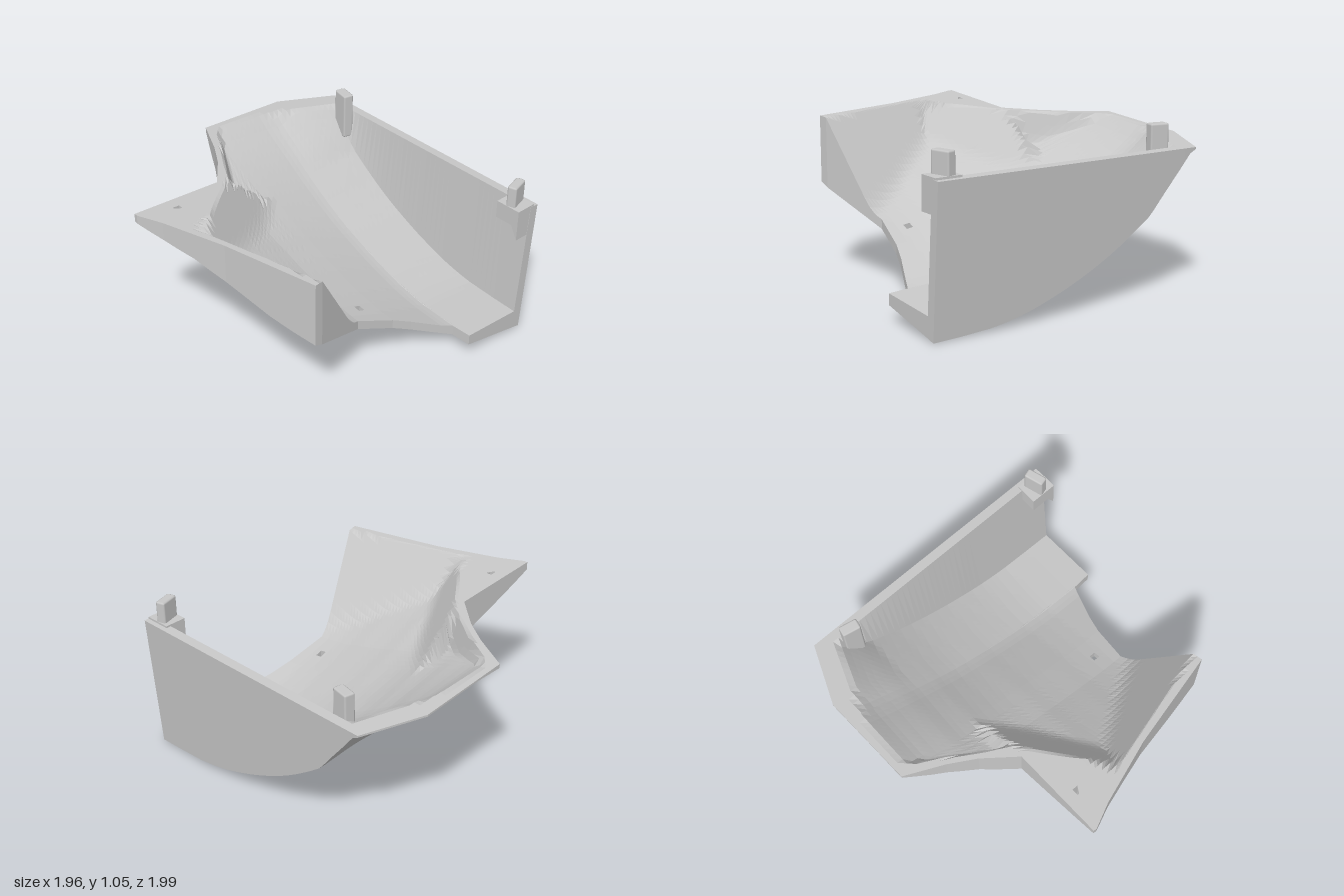
import * as THREE from 'three';
import { RoundedBoxGeometry } from 'three/addons/geometries/RoundedBoxGeometry.js';

const clamp01 = (v) => Math.min(1, Math.max(0, v));

// maximum with a small blend where both are close
function softMax(a, b, k) {
  const h = Math.max(k - Math.abs(a - b), 0) / k;
  return Math.max(a, b) + (h * h * k) / 4;
}

// piecewise linear lookup through [position, value] pairs
function lookup(table, t) {
  if (t <= table[0][0]) return table[0][1];
  for (let i = 1; i < table.length; i++) {
    const [a, va] = table[i - 1], [b, vb] = table[i];
    if (t <= b) return va + ((vb - va) * (t - a)) / (b - a);
  }
  return table[table.length - 1][1];
}

// plan outline: left and right x for each z
const LEFT = [[-1, -0.82], [-0.62, -0.98], [0, -0.97], [0.12, -0.73], [0.22, -0.57], [0.38, -0.38], [0.99, -0.38]];
const RIGHT = [[-1, 0.98], [-0.47, 0.98], [-0.46, 0.85], [-0.2, 0.74], [-0.08, 0.7], [0.17, 0.655],
  [0.59, 0.8], [0.65, 0.81], [0.79, 0.2], [0.92, -0.2], [1, -0.379]];

// underside: cross curve, plus a forward rise that fades to the left
const CROSS = [[-0.98, 0.95], [-0.8, 0.77], [-0.7, 0.685], [-0.6, 0.605], [-0.5, 0.52], [-0.4, 0.445],
  [-0.3, 0.375], [-0.2, 0.312], [-0.1, 0.257], [0, 0.208], [0.1, 0.163], [0.2, 0.124], [0.3, 0.088],
  [0.4, 0.058], [0.5, 0.036], [0.6, 0.02], [0.8, 0.007], [0.98, 0]];
const RISE = [[-0.95, 0], [-0.46, 0.1], [-0.08, 0.255], [0.17, 0.35], [0.65, 0.59], [0.86, 0.7], [1, 0.78]];
const FADE = [[-0.98, 0], [-0.73, 0.33], [-0.57, 0.52], [-0.38, 0.72], [0, 0.93], [0.3, 1]];

const rimY = (z) => 0.97 + 0.07 * z;

function underY(x, z) {
  const lift = 0.13 * clamp01((-z - 0.5) / 0.5) * clamp01((-x - 0.5) / 0.32);
  return Math.min(rimY(z) - 0.012, lookup(CROSS, x) + lookup(RISE, z) * lookup(FADE, x) + lift);
}

function innerY(x, z) {
  const top = rimY(z);
  if (z < -0.93) return top;
  const floor = underY(x, z) + 0.06 + 0.07 * clamp01((-z - 0.4) / 0.5);
  // sloping inside of the front wall, and of the flat corner to its left
  const front = top - 1.4 * Math.max(0, 0.8 - 0.26 * x - z);
  const corner = top - 0.9 * Math.max(0, 0.8 + 1.36 * x - z) - 6 * Math.max(0, -0.38 - x);
  // thin wall along the slanted left cut
  const d = ((x + 0.97) * 0.38 - z * 0.59) / 0.7;
  const cut = top - 4 * Math.max(0, d - 0.075) - 4 * Math.max(0, x + 0.33);
  return Math.min(top, softMax(floor, Math.max(front, corner, cut), 0.05));
}

function shellGeometry() {
  const COLS = 44;
  const keys = [-1, -0.94, -0.885, -0.62, -0.47, -0.46, -0.2, -0.08, 0, 0.12, 0.17, 0.22, 0.38,
    0.59, 0.65, 0.79, 0.92, 0.99];
  const zs = [keys[0]];
  for (let i = 1; i < keys.length; i++) {
    const n = i < 3 ? 1 : Math.ceil((keys[i] - keys[i - 1]) / 0.041);
    for (let k = 1; k <= n; k++) zs.push(keys[i - 1] + ((keys[i] - keys[i - 1]) * k) / n);
  }
  const plan = zs.map((z) => {
    const l = lookup(LEFT, z), r = Math.max(l + 0.002, lookup(RIGHT, z));
    return Array.from({ length: COLS + 1 }, (_, j) => [l + ((r - l) * j) / COLS, z]);
  });

  // screw holes: fit one grid cell to each and leave it open
  const open = new Set();
  for (const [hx, hz] of [[-0.28, 0.75], [0.54, 0.05]]) {
    const i = zs.findIndex((z) => z > hz) - 1;
    const j = plan[i].findIndex((p) => p[0] > hx) - 1;
    open.add(i + ',' + j);
    for (const a of [0, 1]) for (const b of [0, 1])
      plan[i + a][j + b] = [hx + (b - 0.5) * 0.044, hz + (a - 0.5) * 0.044];
  }

  const top = plan.map((row) => row.map(([x, z]) => [x, innerY(x, z), z]));
  // the back wall leans, so its foot is set forward
  const low = plan.map((row) => row.map(([x, z]) => {
    const y = underY(x, z);
    return [x, y, Math.max(z, -0.94 - 0.066 * y + (z + 1) * 0.1)];
  }));

  const pos = [];
  const quad = (a, b, c, d) => pos.push(...a, ...b, ...c, ...a, ...c, ...d);
  const alongZ = (i, j, flip) => flip
    ? quad(top[i][j], top[i + 1][j], low[i + 1][j], low[i][j])
    : quad(low[i][j], low[i + 1][j], top[i + 1][j], top[i][j]);
  const alongX = (i, j, flip) => flip
    ? quad(low[i][j], low[i][j + 1], top[i][j + 1], top[i][j])
    : quad(low[i][j], top[i][j], top[i][j + 1], low[i][j + 1]);
  const last = zs.length - 1;
  for (let i = 0; i < last; i++) {
    for (let j = 0; j < COLS; j++) {
      if (open.has(i + ',' + j)) {
        alongZ(i, j, true);
        alongZ(i, j + 1, false);
        alongX(i, j, true);
        alongX(i + 1, j, false);
        continue;
      }
      quad(top[i][j], top[i + 1][j], top[i + 1][j + 1], top[i][j + 1]);
      quad(low[i][j], low[i][j + 1], low[i + 1][j + 1], low[i + 1][j]);
    }
    alongZ(i, 0, false);
    alongZ(i, COLS, true);
  }
  for (let j = 0; j < COLS; j++) {
    alongX(0, j, false);
    alongX(last, j, true);
  }
  const g = new THREE.BufferGeometry();
  g.setAttribute('position', new THREE.Float32BufferAttribute(pos, 3));
  g.computeVertexNormals();
  return g;
}

export function createModel() {
  const model = new THREE.Group();
  const grey = new THREE.MeshStandardMaterial({ color: 0xc8c8c8 });
  grey.name = 'plain grey';

  const add = (name, geometry, x, y, z, turn = 0) => {
    const mesh = new THREE.Mesh(geometry, grey);
    mesh.name = name;
    mesh.position.set(x, y, z);
    mesh.rotation.y = turn;
    model.add(mesh);
  };

  // curved shell with back wall, front wall and rim
  add('shell', shellGeometry(), 0, 0, 0);

  // corner block with its gusset, and the two locating pegs
  add('cornerBlock', new THREE.BoxGeometry(0.17, 0.115, 0.14), 0.893, 0.857, -0.9);
  const gusset = new THREE.Shape([[0, 0], [0.048, -0.09], [0.048, 0]].map((p) => new THREE.Vector2(...p)));
  add('gusset', new THREE.ExtrudeGeometry(gusset, { depth: 0.1, bevelEnabled: false }), 0.93, 0.8, -0.93);
  add('cornerPeg', new RoundedBoxGeometry(0.062, 0.25, 0.13, 1, 0.012), 0.885, 0.925, -0.9, 0.28);
  add('sidePeg', new RoundedBoxGeometry(0.12, 0.31, 0.07, 1, 0.012), -0.612, 0.895, -0.89, -0.2);
  return model;
}
